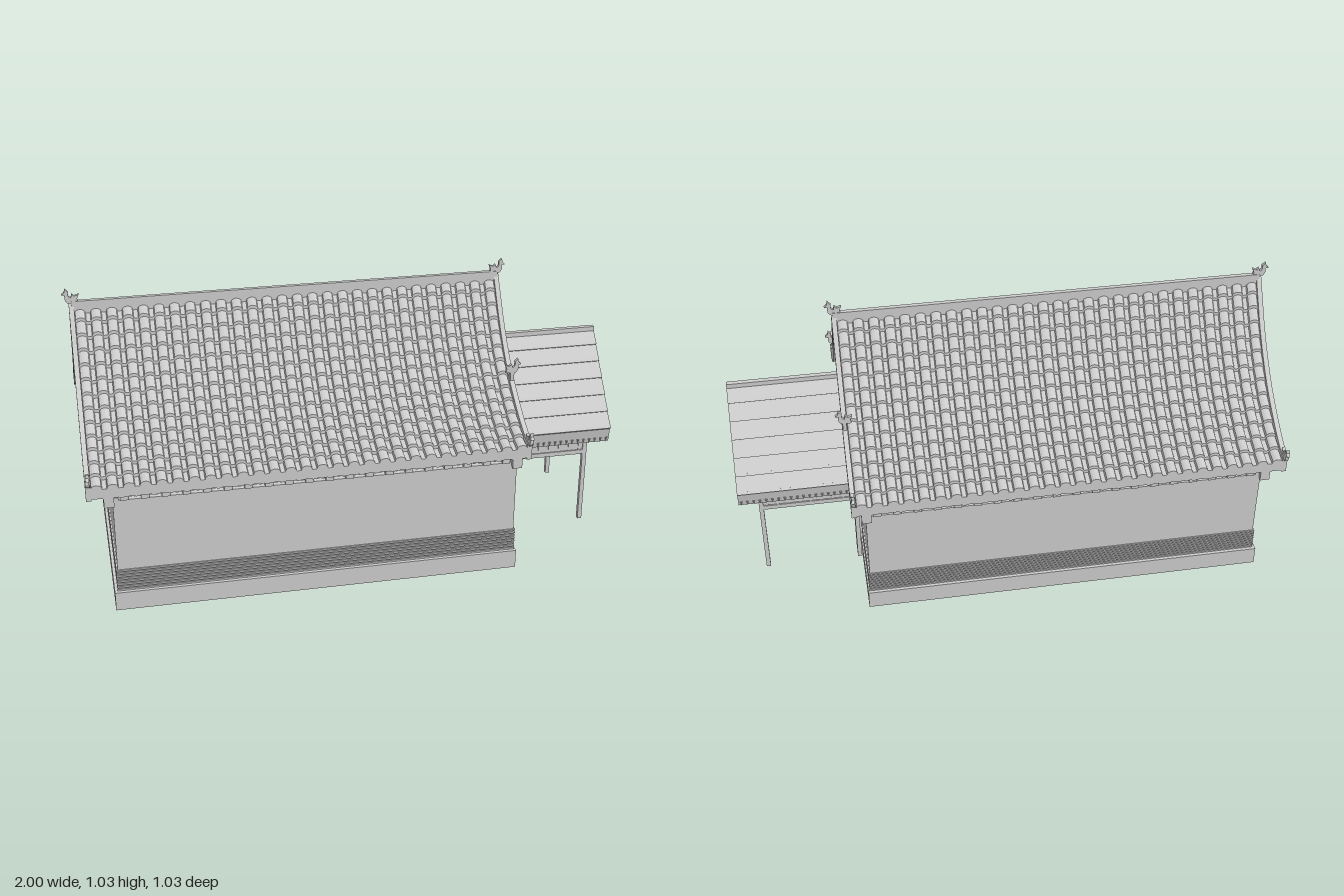
import * as THREE from 'three';

const mat = new THREE.MeshStandardMaterial({ color: 0xcccccc, flatShading: true, side: THREE.DoubleSide });
const X0 = -0.97, X1 = 0.59, MID = (X0 + X1) / 2;
const ROWS = 13, COLS = 28;

// Sweeping roof line from ridge to eave (x holds the distance from the ridge)
const roofCurve = new THREE.CatmullRomCurve3([
  [0, 0.945], [0.05, 0.865], [0.1, 0.787], [0.17, 0.7], [0.25, 0.62], [0.33, 0.56], [0.41, 0.51], [0.49, 0.472],
].map(([z, y]) => new THREE.Vector3(z, y, 0)));
const line = roofCurve.getSpacedPoints(ROWS).map(p => [p.x, p.y]);

function add(parent, name, geo) {
  const m = new THREE.Mesh(geo, mat);
  m.name = name;
  parent.add(m);
  return m;
}

// Box given by its limits
function box(parent, name, x0, x1, y0, y1, z0, z1) {
  const m = add(parent, name, new THREE.BoxGeometry(x1 - x0, y1 - y0, z1 - z0));
  m.position.set((x0 + x1) / 2, (y0 + y1) / 2, (z0 + z1) / 2);
  return m;
}

// Outline of [z, y] points extruded along x
function slab(parent, name, pts, x0, x1) {
  const shape = new THREE.Shape(pts.map(([z, y]) => new THREE.Vector2(-z, y)));
  const geo = new THREE.ExtrudeGeometry(shape, { depth: x1 - x0, bevelEnabled: false });
  geo.rotateY(Math.PI / 2).translate(x0, 0, 0);
  return add(parent, name, geo);
}

// Closed band that follows the roof line on both slopes
function roofBand(up, down) {
  const full = [...line.slice(1).reverse().map(([z, y]) => [-z, y]), ...line];
  return [...full.map(([z, y]) => [z, y + up]), ...full.reverse().map(([z, y]) => [z, y - down])];
}

// Stepped courses of arched tiles for one slope
function tileGeometry() {
  const u = [0, 0.14, 0.2, 0.35, 0.5, 0.65, 0.8, 0.86], h = [0, 0, 0.6, 0.9, 1, 0.9, 0.6, 0];
  const n = COLS * u.length + 1, pos = [], idx = [], lines = [];
  for (let r = 0; r < ROWS; r++) {
    lines.push([...line[r], 0.002], [...line[r + 1], 0.014]);
  }
  lines.push([line[ROWS][0], line[ROWS][1] - 0.025, 0]);
  lines.forEach(([z, y, lift], r) => {
    for (let i = 0; i < n; i++) {
      const k = i % u.length, c = Math.floor(i / u.length);
      const x = (c + u[k]) / COLS * (X1 - X0) - (X1 - X0) / 2;
      pos.push(x, y + lift + h[k] * 0.016, z);
      if (r && i) {
        const d = r * n + i, b = d - n;
        idx.push(b - 1, d - 1, d, b - 1, d, b);
      }
    }
  });
  const geo = new THREE.BufferGeometry();
  geo.setAttribute('position', new THREE.Float32BufferAttribute(pos, 3));
  geo.setIndex(idx);
  geo.computeVertexNormals();
  return geo;
}

// Small curled fish finial; its tail points along +x before turning
function finial(parent, name, x, y, z, turn) {
  const s = new THREE.Shape();
  s.moveTo(-0.025, 0);
  s.lineTo(0.012, 0);
  s.quadraticCurveTo(0.026, 0.012, 0.02, 0.03);
  s.lineTo(0.032, 0.032);
  s.lineTo(0.022, 0.042);
  s.lineTo(0.02, 0.054);
  s.lineTo(0.008, 0.042);
  s.quadraticCurveTo(0.012, 0.024, 0, 0.02);
  s.lineTo(-0.004, 0.034);
  s.lineTo(-0.012, 0.026);
  s.lineTo(-0.028, 0.032);
  s.lineTo(-0.022, 0.016);
  const geo = new THREE.ExtrudeGeometry(s, { depth: 0.012, bevelEnabled: false, curveSegments: 5 });
  geo.translate(0, 0, -0.006);
  const m = add(parent, name, geo);
  m.position.set(x, y, z);
  m.rotation.y = turn;
}

function buildHouse() {
  const g = new THREE.Group();
  g.name = 'house';
  box(g, 'plinth', -0.905, 0.56, 0, 0.07, -0.49, 0.49);
  // Ribbed course above the plinth
  for (let i = 0; i < 8; i++) {
    const y = 0.072 + i * 0.011;
    box(g, 'wallRib', -0.895, 0.555, y, y + 0.006, -0.48, 0.48);
  }
  for (const s of [-1, 1]) {
    box(g, 'longWall', -0.89, 0.55, 0.07, 0.43, s * 0.465 - 0.01, s * 0.465 + 0.01);
    // Rafter ends under the eaves
    for (let i = 0; i < 20; i++) {
      const x = -0.85 + i * 0.0715;
      box(g, 'rafterEnd', x - 0.014, x + 0.014, 0.43, 0.465, s * 0.455 - 0.025, s * 0.455 + 0.025);
    }
  }
  // Gable walls with bargeboards
  const under = line.filter(([z]) => z < 0.47).map(([z, y]) => [z, y - 0.03]);
  const half = [...under, [0.475, 0.44], [0.475, 0.07]];
  const gable = [...half, ...half.slice(1).reverse().map(([z, y]) => [-z, y])];
  for (const [x0, x1, b0, b1] of [[-0.89, -0.87, -0.92, -0.885], [0.53, 0.55, 0.53, 0.565]]) {
    slab(g, 'gableWall', gable, x0, x1);
    slab(g, 'bargeboard', roofBand(-0.015, 0.06), b0, b1);
  }
  return g;
}

function buildRoof() {
  const g = new THREE.Group();
  g.name = 'mainRoof';
  slab(g, 'roofDeck', roofBand(0, 0.022), X0, X1);
  const tiles = tileGeometry();
  for (const turn of [0, Math.PI]) {
    const m = add(g, 'roofTiles', tiles);
    m.position.x = MID;
    m.rotation.y = turn;
  }
  box(g, 'ridge', X0, X1 + 0.005, 0.93, 0.985, -0.008, 0.008);
  for (const [x, s] of [[X0, -1], [X1, 1]]) {
    slab(g, 'rakeRidge', roofBand(0.032, 0.028), x - 0.009, x + 0.009);
    finial(g, 'ridgeFinial', x, 0.978, 0, s > 0 ? 0 : Math.PI);
    for (const t of [-1, 1]) finial(g, 'cornerFinial', x, 0.5, t * 0.485, -t * Math.PI / 2);
  }
  for (const t of [-1, 1]) {
    box(g, 'rakePost', 0.583, 0.597, 0.62, 0.685, t * 0.248 - 0.006, t * 0.248 + 0.006);
    finial(g, 'rakeFinial', X1, 0.68, t * 0.248, 0);
  }
  return g;
}

function buildPorch() {
  const g = new THREE.Group();
  g.name = 'porch';
  g.position.z = -0.01;
  const xa = 0.545, xb = 0.995, run = 0.25, drop = 0.31;
  slab(g, 'porchRoof', [[0, 0.715], [run - 0.003, 0.405], [0.238, 0.35], [0, 0.675], [-0.238, 0.35], [-run + 0.003, 0.405]], xa, xb);
  slab(g, 'porchGable', [[0, 0.68], [0.215, 0.385], [-0.215, 0.385]], 0.965, 0.985);
  box(g, 'porchRidge', 0.56, xb, 0.705, 0.727, -0.009, 0.009);
  // Lapped boards and battens on each slope
  const slope = Math.atan2(drop, run), len = Math.hypot(run, drop) / 6;
  for (const s of [-1, 1]) {
    for (let i = 0; i < 6; i++) {
      const t = (i + 0.5) / 6, t2 = (i + 0.95) / 6;
      const board = box(g, 'roofBoard', 0.57, xb, 0, 0.008, -len / 2, len / 2);
      board.position.set(board.position.x, 0.717 - drop * t, s * run * t);
      board.rotation.x = s * (slope - 0.08);
      const batten = box(g, 'roofBatten', 0.57, xb, 0, 0.012, -0.005, 0.005);
      batten.position.set(batten.position.x, 0.719 - drop * t2, s * run * t2);
      batten.rotation.x = s * slope;
    }
    // Toothed trim along the eave
    for (let i = 0; i < 20; i++) {
      const x = xa + 0.012 + i * 0.0225;
      const tooth = add(g, 'eaveTooth', new THREE.ConeGeometry(0.01, 0.022, 4));
      tooth.position.set(x, 0.357, s * 0.236);
      tooth.rotation.x = Math.PI;
    }
    // Side beam with upright slats
    box(g, 'sideBeam', 0.55, 0.92, 0.285, 0.302, s * 0.195 - 0.008, s * 0.195 + 0.008);
    box(g, 'sidePanel', 0.55, 0.92, 0.3, 0.4, s * 0.195 - 0.003, s * 0.195 + 0.003);
    for (let i = 0; i < 9; i++) {
      const x = 0.575 + i * 0.04;
      box(g, 'sideSlat', x - 0.004, x + 0.004, 0.3, 0.395, s * 0.195 - 0.006, s * 0.195 + 0.006);
    }
    for (const x of [0.57, 0.917]) box(g, 'post', x - 0.008, x + 0.008, 0, 0.385, s * 0.195 - 0.008, s * 0.195 + 0.008);
  }
  box(g, 'frontBeam', 0.909, 0.925, 0.285, 0.302, -0.195, 0.195);
  box(g, 'frontPanel', 0.914, 0.92, 0.3, 0.386, -0.195, 0.195);
  for (let i = 0; i < 9; i++) {
    const z = -0.16 + i * 0.04;
    box(g, 'frontSlat', 0.911, 0.923, 0.3, 0.386, z - 0.004, z + 0.004);
  }
  return g;
}

function buildDoor() {
  const g = new THREE.Group();
  g.name = 'door';
  box(g, 'doorLeaf', 0.54, 0.565, 0, 0.285, -0.17, 0.17);
  box(g, 'lintel', 0.54, 0.58, 0.275, 0.3, -0.19, 0.19);
  box(g, 'centreStile', 0.56, 0.572, 0, 0.28, -0.012, 0.012);
  for (const s of [-1, 1]) {
    box(g, 'doorJamb', 0.54, 0.578, 0, 0.285, s * 0.17 - 0.016, s * 0.17 + 0.016);
    box(g, 'lowerPanel', 0.56, 0.57, 0.02, 0.125, s * 0.077 - 0.062, s * 0.077 + 0.062);
    box(g, 'midRail', 0.56, 0.572, 0.13, 0.145, s * 0.08 - 0.075, s * 0.08 + 0.075);
  }
  return g;
}

export function createModel() {
  const model = new THREE.Group();
  model.name = 'tiledHall';
  model.add(buildHouse(), buildRoof(), buildPorch(), buildDoor());
  return model;
}
